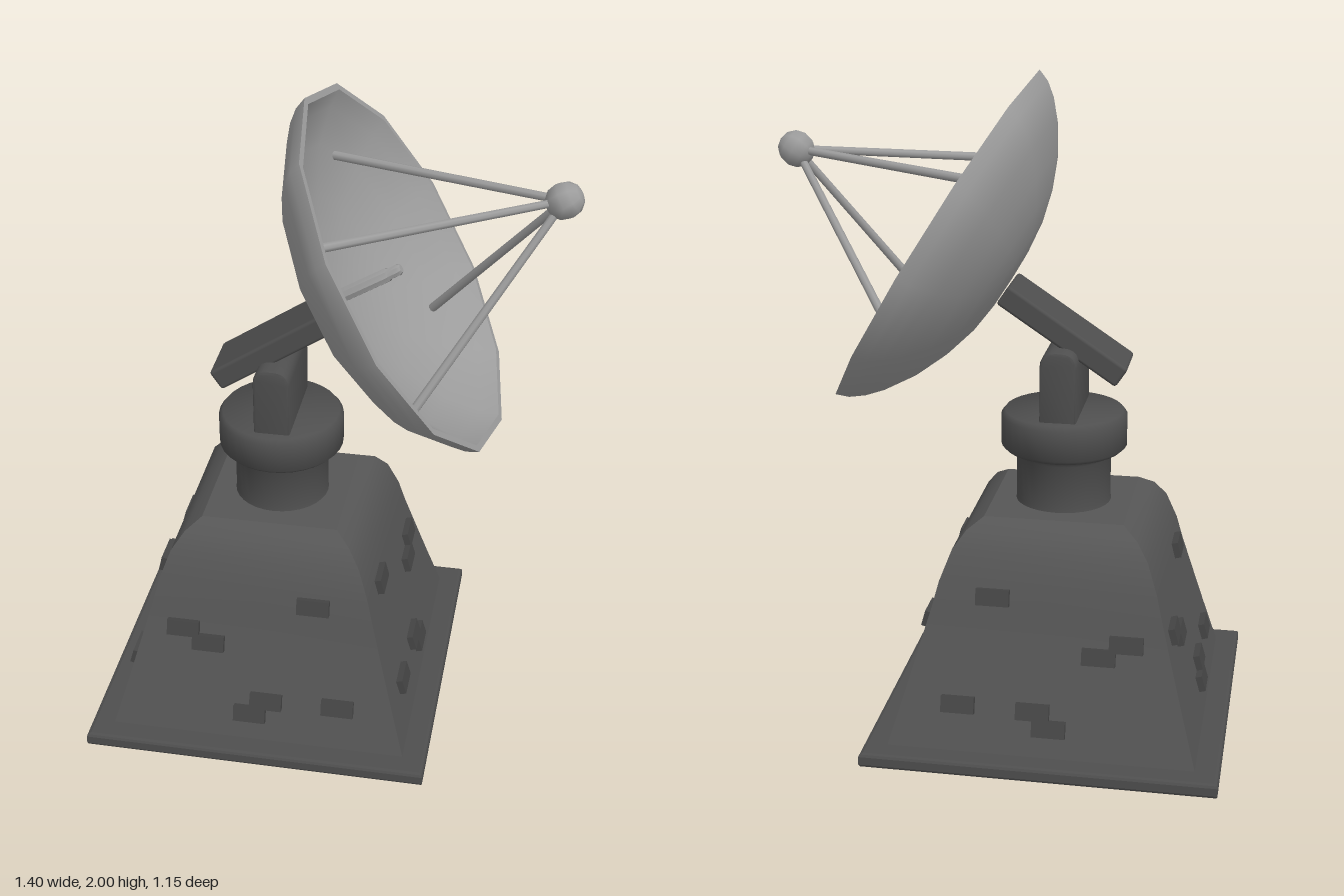
import * as THREE from 'three';
import { toCreasedNormals } from 'three/addons/utils/BufferGeometryUtils.js';
import { RoundedBoxGeometry } from 'three/addons/geometries/RoundedBoxGeometry.js';

const wallGrey = new THREE.MeshStandardMaterial({ color: 0x565656, side: THREE.DoubleSide });
const partGrey = new THREE.MeshStandardMaterial({ color: 0x4e4e4e });
const brickGrey = new THREE.MeshStandardMaterial({ color: 0x464646 });
const dishGrey = new THREE.MeshStandardMaterial({ color: 0x9c9c9c });

function add(parent, name, geometry, material) {
  const mesh = new THREE.Mesh(geometry, material);
  mesh.name = name;
  parent.add(mesh);
  return mesh;
}

const points = (list) => list.map(([x, y]) => new THREE.Vector2(x, y));

// Round bar between two points
function bar(parent, name, a, b, r0, r1) {
  const dir = b.clone().sub(a);
  const mesh = add(parent, name, new THREE.CylinderGeometry(r1, r0, dir.length(), 8), dishGrey);
  mesh.position.copy(a).add(b).multiplyScalar(0.5);
  mesh.quaternion.setFromUnitVectors(new THREE.Vector3(0, 1, 0), dir.normalize());
}

// Half width and height of the tower walls
const wall = [[0.46, 0.045], [0.415, 0.2], [0.37, 0.36], [0.345, 0.45], [0.325, 0.53],
  [0.292, 0.62], [0.255, 0.67], [0.21, 0.7]];

function buildTower(tower) {
  // Base plate with an eight-sided opening
  const h = 0.52, a = 0.45, b = 0.186;
  const plate = new THREE.Shape(points([[-h, -h], [h, -h], [h, h], [-h, h]]));
  plate.holes.push(new THREE.Path(points([[a, -b], [b, -a], [-b, -a], [-a, -b],
    [-a, b], [-b, a], [b, a], [a, b]])));
  const plateGeo = new THREE.ExtrudeGeometry(plate, {
    depth: 0.025, bevelSize: 0.012, bevelThickness: 0.01, bevelSegments: 2 });
  plateGeo.rotateX(-Math.PI / 2).translate(0, 0.01, 0);
  add(tower, 'basePlate', plateGeo, partGrey);

  // Square hollow body with curved walls
  const profile = points([...wall.map(([w, y]) => [w * Math.SQRT2, y]), [0, 0.7]]);
  const body = new THREE.LatheGeometry(profile, 4, Math.PI / 4);
  add(tower, 'towerBody', toCreasedNormals(body, 0.58), wallGrey);

  // Bricks: position along the wall and height, repeated on all four sides
  const bricks = [[-0.243, 0.385], [-0.163, 0.345], [0.16, 0.495], [0.025, 0.175],
    [-0.025, 0.13], [0.25, 0.18]];
  const brickGeo = new THREE.BoxGeometry(0.1, 0.05, 0.02).translate(0, 0, 0.0105);
  for (const alongX of [true, false]) {
    for (const s of [1, -1]) {
      const side = new THREE.Group();
      side.name = 'wallBricks';
      side.rotation.y = alongX ? (s > 0 ? 0 : Math.PI) : s * Math.PI / 2;
      const flip = alongX ? s : -s;
      for (const [u, y] of bricks) {
        const i = wall.findIndex((p) => p[1] > y);
        const [w0, y0] = wall[i - 1], [w1, y1] = wall[i];
        const w = w0 + (w1 - w0) * (y - y0) / (y1 - y0);
        const brick = add(side, 'brick', brickGeo, brickGrey);
        brick.position.set(u * flip, y, w);
        brick.rotation.x = -Math.atan2(w0 - w1, y1 - y0);
      }
      tower.add(side);
    }
  }

  // Round neck and collar
  const neck = new THREE.LatheGeometry(points([[0.146, 0.7], [0.144, 0.712], [0.144, 0.845],
    [0.155, 0.862], [0.18, 0.866], [0.192, 0.878], [0.192, 0.97], [0.18, 0.985],
    [0, 0.985]]), 32);
  add(tower, 'neckCollar', toCreasedNormals(neck, 0.9), partGrey);

  // Arched yoke that carries the arm
  const w = 0.047, top = 1.192, r = 0.04;
  const arch = new THREE.Shape();
  arch.moveTo(-w, 0.96);
  arch.lineTo(w, 0.96);
  arch.lineTo(w, top - r);
  arch.quadraticCurveTo(w, top, w - r, top);
  arch.lineTo(-w + r, top);
  arch.quadraticCurveTo(-w, top, -w, top - r);
  const yoke = new THREE.ExtrudeGeometry(arch, {
    depth: 0.284, curveSegments: 5, bevelSize: 0.008, bevelThickness: 0.008, bevelSegments: 2 });
  yoke.translate(0, 0, -0.142);
  add(tower, 'yoke', toCreasedNormals(yoke, 0.6), partGrey);
}

function buildDish(dish) {
  // Twelve-sided bowl: outer skin, rim and inner skin, opening along local y
  const outer = [[0, -0.252], [0.1, -0.249], [0.2, -0.237], [0.3, -0.21], [0.4, -0.168],
    [0.486, -0.114], [0.53, -0.076], [0.56, -0.038], [0.575, 0]];
  const inner = [[0.555, 0], [0.52, -0.045], [0.435, -0.118], [0.3, -0.182], [0.2, -0.212],
    [0.1, -0.229], [0, -0.235]];
  add(dish, 'dishBack', new THREE.LatheGeometry(points(outer), 12), dishGrey);
  add(dish, 'dishRim', new THREE.LatheGeometry(points([[0.575, 0], [0.555, 0]]), 12), dishGrey);
  add(dish, 'dishBowl', new THREE.LatheGeometry(points(inner), 12), dishGrey);

  // Receiver ball on four struts
  const focus = new THREE.Vector3(0.018, 0.498, 0);
  add(dish, 'receiverBall', new THREE.SphereGeometry(0.056, 8, 6), dishGrey).position.copy(focus);
  for (let i = 0; i < 4; i++) {
    const a = Math.PI / 4 - 0.05 + i * Math.PI / 2;
    const foot = new THREE.Vector3(Math.cos(a) * 0.42, -0.125, Math.sin(a) * 0.42);
    bar(dish, 'strut', foot, focus, 0.014, 0.012);
  }

  // Stepped feed horn in the middle of the bowl
  const feed = new THREE.LatheGeometry(points([[0.022, -0.24], [0.022, -0.068], [0.018, -0.06],
    [0.018, -0.03], [0.012, -0.02], [0, -0.02]]), 8);
  add(dish, 'feedHorn', toCreasedNormals(feed, 0.6), dishGrey);
}

export function createModel() {
  const model = new THREE.Group();
  model.name = 'dishTower';

  const tower = new THREE.Group();
  tower.name = 'tower';
  tower.position.x = -0.167;
  buildTower(tower);
  model.add(tower);

  // Tilted arm behind the dish
  const arm = add(model, 'arm', new RoundedBoxGeometry(0.43, 0.068, 0.185, 2, 0.01), partGrey);
  arm.position.set(-0.17, 1.234, 0);
  arm.rotation.z = 0.588;

  const dish = new THREE.Group();
  dish.name = 'dish';
  dish.position.set(0.212, 1.51, 0);
  dish.rotation.z = -1.028;
  buildDish(dish);
  model.add(dish);
  return model;
}
